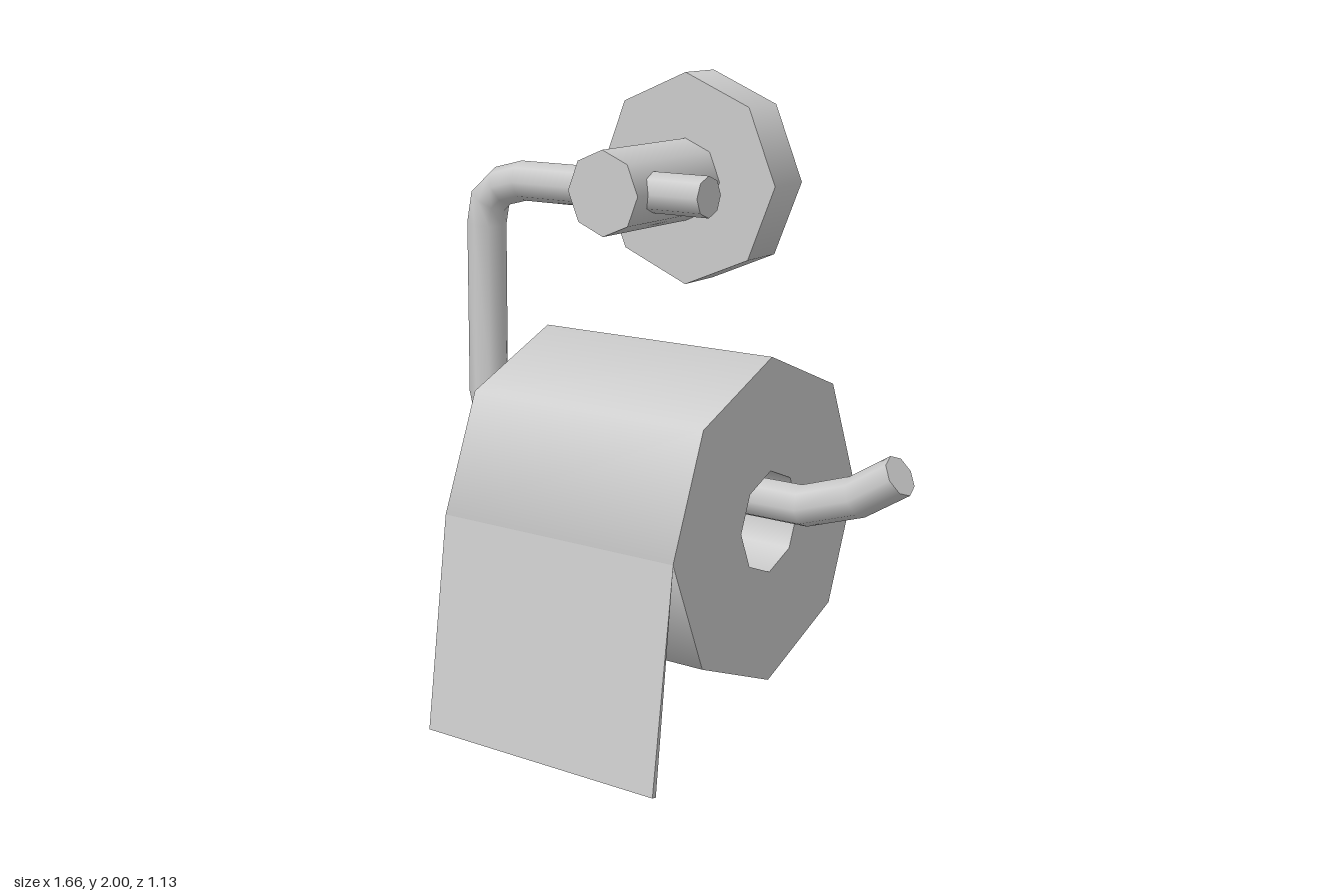
import * as THREE from 'three';
import { mergeGeometries } from 'three/addons/utils/BufferGeometryUtils.js';

const SIDES = 8;

// Revolves a profile [radius, height] about y, with a hard edge at every profile corner
function turned(profile) {
  const bands = [];
  for (let i = 0; i + 1 < profile.length; i++) {
    const pair = [profile[i], profile[i + 1]].map(([r, y]) => new THREE.Vector2(r, y));
    bands.push(new THREE.LatheGeometry(pair, SIDES));
  }
  return mergeGeometries(bands);
}

// Round rod along a path in the xy plane, with mitred joints and closed ends
function bentRod(points, radius) {
  const path = points.map(([x, y]) => new THREE.Vector2(x, y));
  const last = path.length - 1;
  const pos = [], nor = [], idx = [];
  const dirs = path.slice(1).map((p, i) => p.clone().sub(path[i]).normalize());
  const ring = (i, capNormal) => {
    const a = dirs[Math.max(i - 1, 0)], b = dirs[Math.min(i, last - 1)];
    const t = a.clone().add(b).normalize();
    const mitre = 1 / t.dot(a);
    for (let k = 0; k <= SIDES; k++) {
      const ang = (k / SIDES) * Math.PI * 2;
      const c = Math.cos(ang), s = Math.sin(ang);
      pos.push(path[i].x - t.y * c * radius * mitre, path[i].y + t.x * c * radius * mitre, s * radius);
      if (capNormal) nor.push(t.x * capNormal, t.y * capNormal, 0);
      else nor.push(-t.y * c, t.x * c, s);
    }
  };
  const n = SIDES + 1;
  for (let i = 0; i <= last; i++) ring(i, 0);
  for (let i = 0; i < last; i++) {
    for (let k = 0; k < SIDES; k++) {
      const a = i * n + k, b = a + n;
      idx.push(a, a + 1, b, a + 1, b + 1, b);
    }
  }
  // End caps
  for (const [i, sign] of [[0, -1], [last, 1]]) {
    const base = pos.length / 3;
    ring(i, sign);
    for (let k = 1; k < SIDES - 1; k++) {
      if (sign > 0) idx.push(base, base + k, base + k + 1);
      else idx.push(base, base + k + 1, base + k);
    }
  }
  const g = new THREE.BufferGeometry();
  g.setAttribute('position', new THREE.Float32BufferAttribute(pos, 3));
  g.setAttribute('normal', new THREE.Float32BufferAttribute(nor, 3));
  g.setIndex(idx);
  return g;
}

export function createModel() {
  const group = new THREE.Group();
  const solid = new THREE.MeshStandardMaterial({ color: 0xcccccc, side: THREE.DoubleSide });
  const add = (name, geometry, x, y, z) => {
    const mesh = new THREE.Mesh(geometry, solid);
    mesh.name = name;
    mesh.position.set(x, y, z);
    group.add(mesh);
  };

  // Wall plate, a shallow cup open towards the wall
  add('wallPlate', turned([[0.342, -0.53], [0.342, -0.37], [0.133, -0.37]]).rotateX(Math.PI / 2), -0.195, 1.658, 0);

  // Hollow post reaching forward from the plate, closed in front
  add('post', turned([[0.133, -0.37], [0.133, 0.072], [0, 0.072]]).rotateX(Math.PI / 2), -0.195, 1.658, 0);

  // Bent rod that carries the roll, with an upturned tip
  add('holderRod', bentRod([
    [0.117, 1.658], [-0.6, 1.658], [-0.688, 1.636], [-0.743, 1.59], [-0.76, 1.51],
    [-0.768, 0.95], [-0.745, 0.855], [-0.685, 0.785], [-0.575, 0.755],
    [0.47, 0.755], [0.65, 0.813], [0.79, 0.9],
  ], 0.064), 0, 0, -0.045);

  // Paper roll with its hollow core
  const half = 0.43;
  add('paperRoll', turned([
    [0.161, -half], [0.515, -half], [0.515, half], [0.161, half], [0.161, -half],
  ]).rotateZ(-Math.PI / 2), -0.085, 0.681, -0.05);

  // Hanging sheet, a thin wedge in the zy plane extruded along x
  const section = new THREE.Shape([
    new THREE.Vector2(0.465, 0.681), new THREE.Vector2(0.552, 0), new THREE.Vector2(0.569, 0.004),
  ]);
  const sheet = new THREE.ExtrudeGeometry(section, { depth: 0.861, bevelEnabled: false });
  sheet.rotateY(-Math.PI / 2); // section x becomes z, depth runs towards -x
  add('hangingSheet', sheet, 0.346, 0, 0);

  return group;
}
